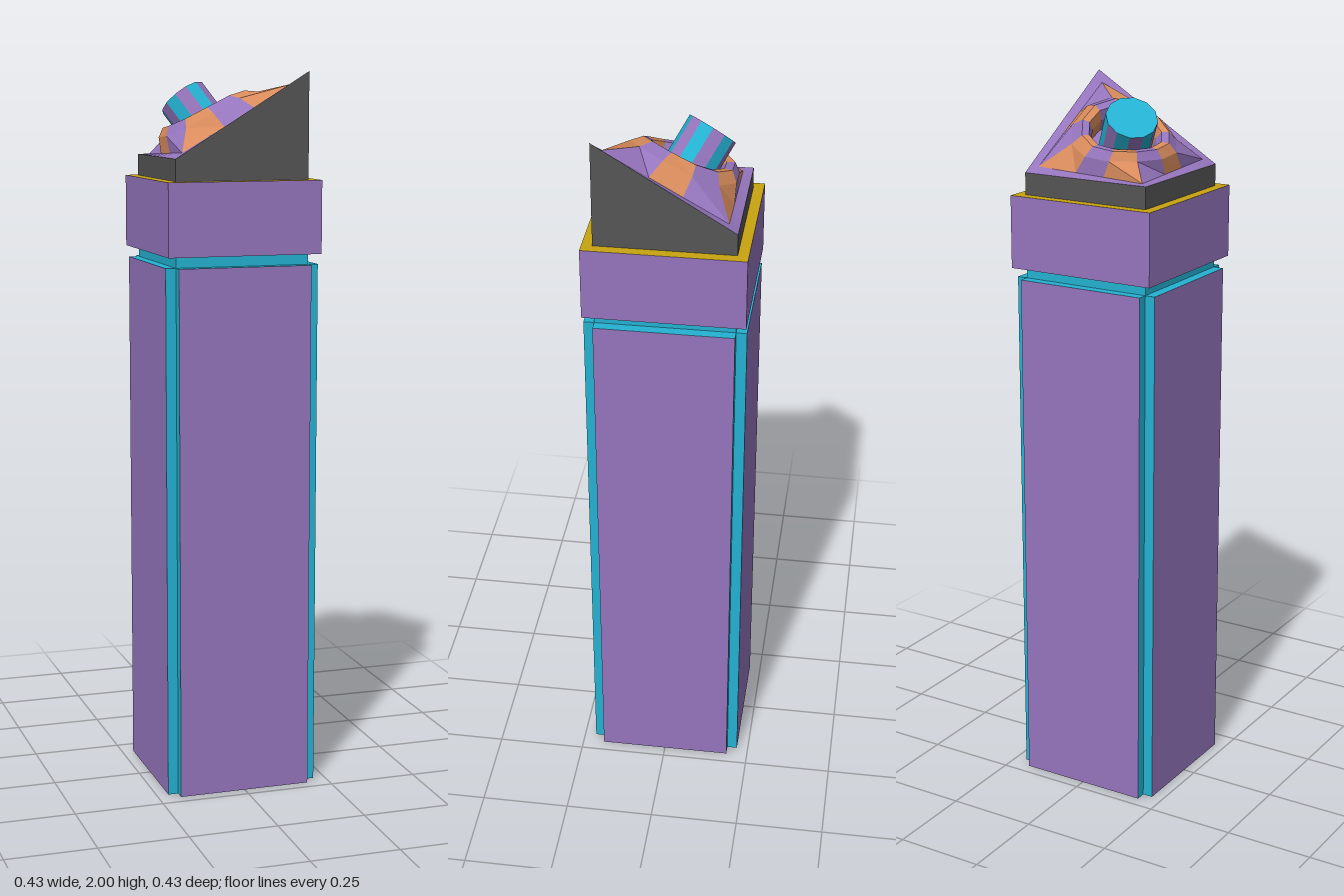
import * as THREE from 'three';

const mat = (color) => new THREE.MeshStandardMaterial({ color, flatShading: true });
const purple = mat(0x9575bd), teal = mat(0x24b2d2), gold = mat(0xc8a410);
const orange = mat(0xd98c5c), grey = mat(0x555555);

const CORE = 0.188, OUTER = 0.217, SIDES = 12;
const SLOPE = 0.23 / (4 * CORE); // mean slope of the raised top
const up = new THREE.Vector3(-SLOPE * 2, 1, -SLOPE * 2).normalize();

// Height of the top, which has one corner raised
const topHeight = (x, z) =>
  1.77 + 0.23 * ((x + CORE) / (2 * CORE)) * ((z + CORE) / (2 * CORE));
const onTop = (x, z, lift = 0) =>
  new THREE.Vector3(x, topHeight(x, z), z).addScaledVector(up, lift);

// Mesh from quads whose corners run counter-clockwise seen from outside
function quadMesh(name, quads, material) {
  const points = quads.flatMap(([a, b, c, d]) => [a, b, c, a, c, d]);
  const geo = new THREE.BufferGeometry().setFromPoints(points);
  geo.computeVertexNormals();
  const mesh = new THREE.Mesh(geo, material);
  mesh.name = name;
  return mesh;
}

// Box standing on y0; materials in the order +x, -x, +y, -y, +z, -z
function box(name, w, y0, y1, d, materials) {
  const geo = new THREE.BoxGeometry(w, y1 - y0, d).translate(0, (y0 + y1) / 2, 0);
  const mesh = new THREE.Mesh(geo, materials);
  mesh.name = name;
  return mesh;
}

function createColumn() {
  const column = new THREE.Group();
  column.name = 'column';
  column.add(box('core', CORE * 2, 0, 1.51, CORE * 2, [teal, teal, teal, purple, teal, teal]));
  for (let i = 0; i < 4; i++) {
    const panel = box('sidePanel', CORE * 2, 0, 1.48, OUTER - CORE,
      [teal, teal, teal, purple, purple, teal]);
    panel.geometry.translate(0, 0, (OUTER + CORE) / 2);
    panel.rotation.y = i * Math.PI / 2;
    column.add(panel);
  }
  return column;
}

// Grey walls and the twisted top surface
function createWedge() {
  const wedge = new THREE.Group();
  wedge.name = 'wedge';
  const corners = [[-1, 1], [1, 1], [1, -1], [-1, -1]].map(([x, z]) => [x * CORE, z * CORE]);
  const walls = corners.map(([x, z], i) => {
    const [x2, z2] = corners[(i + 1) % 4];
    return [new THREE.Vector3(x, 1.71, z), new THREE.Vector3(x2, 1.71, z2), onTop(x2, z2), onTop(x, z)];
  });
  wedge.add(quadMesh('wedgeWalls', walls, grey));

  const top = new THREE.PlaneGeometry(CORE * 2, CORE * 2, 10, 10).rotateX(-Math.PI / 2);
  const pos = top.attributes.position;
  for (let i = 0; i < pos.count; i++) pos.setY(i, topHeight(pos.getX(i), pos.getZ(i)));
  top.computeVertexNormals();
  const topMesh = new THREE.Mesh(top, new THREE.MeshStandardMaterial({ color: 0x9575bd }));
  topMesh.name = 'wedgeTop';
  wedge.add(topMesh);
  return wedge;
}

// Raised ring: square outer foot, round crest and hole, striped in two colours
function createRing() {
  const ring = new THREE.Group();
  ring.name = 'ring';
  const profile = [[0.145, 0.05], [0.12, 0.075], [0.1, 0.07], [0.088, 0.04], [0.085, -0.01]];
  const section = (i) => {
    const a = (i + 0.5) / SIDES * Math.PI * 2 + Math.PI / SIDES * 2;
    const c = Math.cos(a), s = Math.sin(a);
    const square = 0.162 / Math.max(Math.abs(c), Math.abs(s));
    return [[square, 0], ...profile].map(([r, lift]) => onTop(r * c, r * s, lift));
  };
  const stripes = [[], []];
  for (let i = 0; i < SIDES; i++) {
    const p = section(i), q = section(i + 1);
    for (let j = 0; j < p.length - 1; j++) {
      stripes[i % 2].push([p[j], p[j + 1], q[j + 1], q[j]]);
    }
  }
  ring.add(quadMesh('ringPurpleStripes', stripes[1], purple));
  ring.add(quadMesh('ringOrangeStripes', stripes[0], orange));
  return ring;
}

// Leaning knob with striped sides
function createKnob() {
  const knob = new THREE.Group();
  knob.name = 'knob';
  const length = 0.19, radius = 0.07;
  const step = Math.PI * 2 / SIDES;
  const at = (i, y) => new THREE.Vector3(radius * Math.sin(i * step), y, radius * Math.cos(i * step));
  const stripes = [[], []];
  for (let i = 0; i < SIDES; i++) {
    stripes[i % 2].push([at(i, 0), at(i + 1, 0), at(i + 1, length), at(i, length)]);
  }
  knob.add(quadMesh('knobTealStripes', stripes[0], teal));
  knob.add(quadMesh('knobPurpleStripes', stripes[1], purple));
  const cap = new THREE.Mesh(new THREE.CircleGeometry(radius, SIDES).rotateX(-Math.PI / 2), teal);
  cap.name = 'knobCap';
  cap.position.y = length;
  knob.add(cap);
  knob.position.set(0.002, 1.783, 0);
  knob.quaternion.setFromUnitVectors(new THREE.Vector3(0, 1, 0), up);
  return knob;
}

export function createModel() {
  const model = new THREE.Group();
  model.name = 'pillar';
  model.add(createColumn());
  model.add(box('collar', OUTER * 2, 1.51, 1.71, OUTER * 2,
    [purple, purple, gold, purple, purple, purple]));
  model.add(createWedge(), createRing(), createKnob());
  return model;
}
